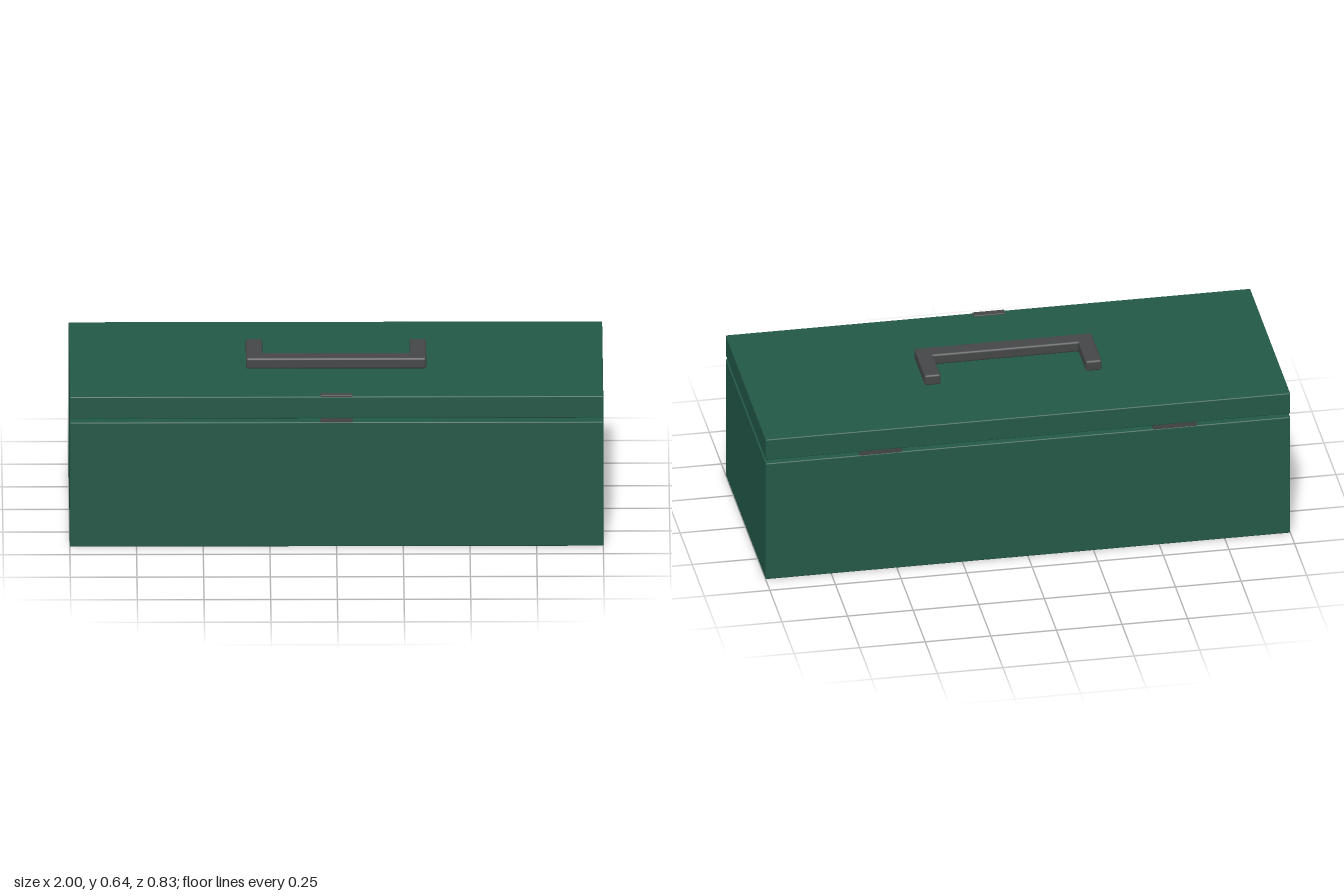
import * as THREE from 'three';
import { RoundedBoxGeometry } from 'three/addons/geometries/RoundedBoxGeometry.js';

export function createModel() {
  const box = new THREE.Group();
  box.name = 'toolbox';

  const green = new THREE.MeshStandardMaterial({ color: 0x235847 });
  green.name = 'green paint';
  const grey = new THREE.MeshStandardMaterial({ color: 0x444647 });
  grey.name = 'dark grey metal';

  // Rounded block given by its extents on each axis
  function block(name, material, [x0, x1], [y0, y1], [z0, z1], radius, parent = box) {
    const geometry = new RoundedBoxGeometry(x1 - x0, y1 - y0, z1 - z0, 2, radius);
    const mesh = new THREE.Mesh(geometry, material);
    mesh.position.set((x0 + x1) / 2, (y0 + y1) / 2, (z0 + z1) / 2);
    mesh.name = name;
    parent.add(mesh);
  }

  // Body and lid, with a narrow gap between them
  block('body', green, [-1, 1], [0, 0.495], [-0.415, 0.415], 0.004);
  block('lid', green, [-1, 1], [0.51, 0.597], [-0.415, 0.415], 0.004);

  // Front latch, running up through the lid
  block('latch', grey, [-0.06, 0.06], [0.48, 0.602], [0.384, 0.414], 0.003);

  // Pair of hinges bridging the gap at the back
  for (const side of [-1, 1]) {
    const x = side * 0.56;
    block(side > 0 ? 'leftHinge' : 'rightHinge', grey,
      [x - 0.082, x + 0.082], [0.48, 0.525], [-0.414, -0.384], 0.003);
  }

  // Handle folded flat on the lid: a grip and two arms
  const handle = new THREE.Group();
  handle.name = 'handle';
  box.add(handle);
  block('grip', grey, [-0.338, 0.338], [0.597, 0.64], [0.045, 0.11], 0.008, handle);
  block('rightArm', grey, [-0.338, -0.276], [0.597, 0.64], [-0.11, 0.11], 0.008, handle);
  block('leftArm', grey, [0.276, 0.338], [0.597, 0.64], [-0.11, 0.11], 0.008, handle);

  return box;
}
